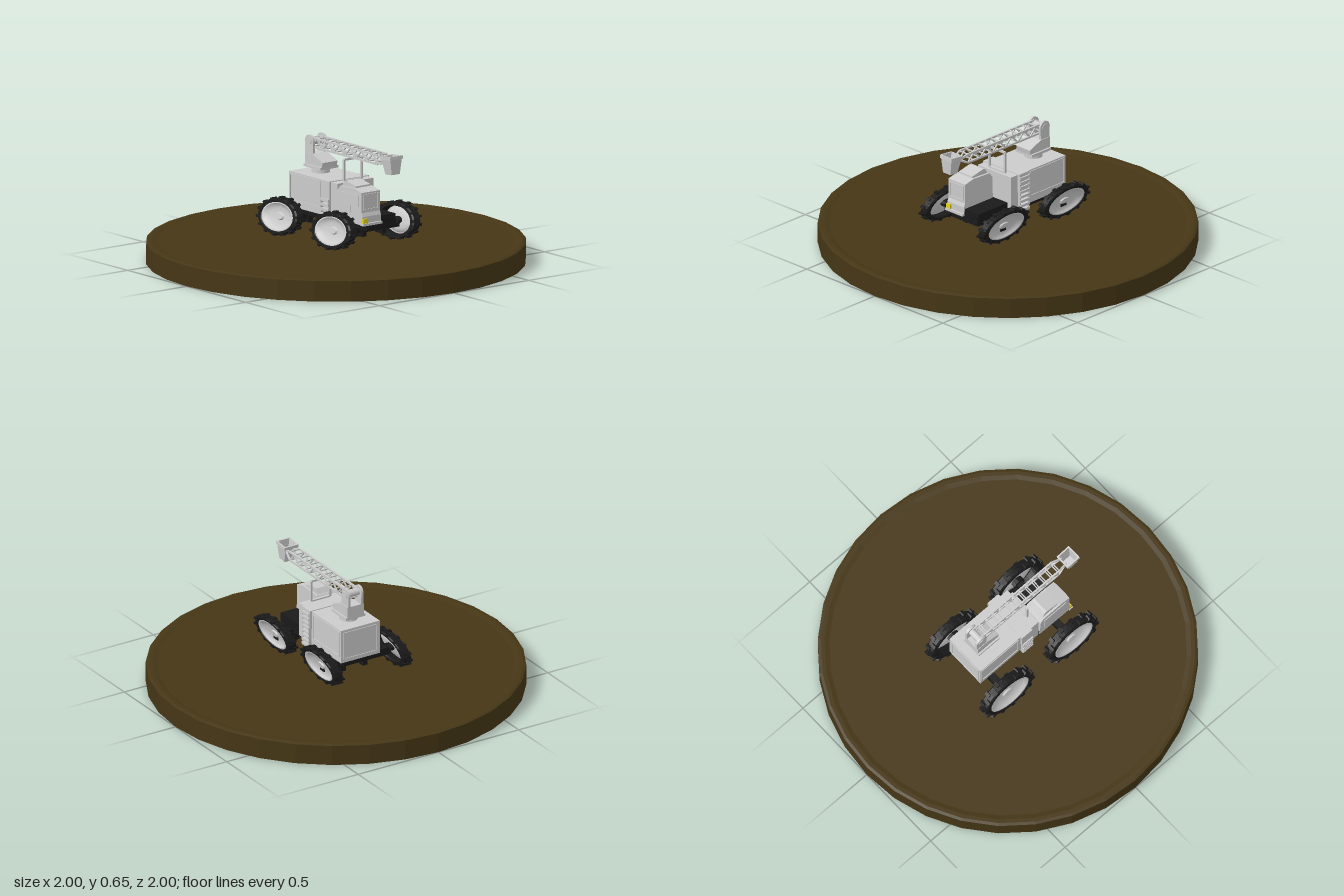
import * as THREE from 'three';
import { mergeGeometries, toCreasedNormals } from 'three/addons/utils/BufferGeometryUtils.js';

const grey = new THREE.MeshStandardMaterial({ color: 0xcccccc, side: THREE.DoubleSide });
const black = new THREE.MeshStandardMaterial({ color: 0x1a1a1a, flatShading: true });
const earth = new THREE.MeshStandardMaterial({ color: 0x453615, flatShading: true });
const yellow = new THREE.MeshStandardMaterial({ color: 0xe6d21e });
const MID = -0.027; // z of the vehicle's centre line

const V = (x, y) => new THREE.Vector2(x, y);

function add(parent, name, geometry, material = grey) {
  const m = new THREE.Mesh(geometry, material);
  m.name = name;
  parent.add(m);
  return m;
}

// box given by its limits
function block(x0, x1, y0, y1, z0, z1) {
  return new THREE.BoxGeometry(x1 - x0, y1 - y0, z1 - z0)
    .translate((x0 + x1) / 2, (y0 + y1) / 2, (z0 + z1) / 2);
}

// side outline extruded between two z values
function prism(points, z0, z1) {
  const shape = new THREE.Shape(points.map(([x, y]) => V(x, y)));
  return new THREE.ExtrudeGeometry(shape, { depth: z1 - z0, bevelEnabled: false }).translate(0, 0, z0);
}

// square bar between two points
function bar(a, b, t) {
  const p = new THREE.Vector3(...a), q = new THREE.Vector3(...b);
  const g = new THREE.BoxGeometry(t, t, p.distanceTo(q));
  const o = new THREE.Object3D();
  o.position.copy(p).add(q).multiplyScalar(0.5);
  o.lookAt(q);
  o.updateMatrix();
  return g.applyMatrix4(o.matrix);
}

// four bars framing a rectangle on a z face
const frameZ = (x0, x1, y0, y1, z, t) => mergeGeometries([
  bar([x0, y0, z], [x1, y0, z], t), bar([x0, y1, z], [x1, y1, z], t),
  bar([x0, y0, z], [x0, y1, z], t), bar([x1, y0, z], [x1, y1, z], t)]);

// four bars framing a rectangle on an x face
const frameX = (x, y0, y1, z0, z1, t) => mergeGeometries([
  bar([x, y0, z0], [x, y0, z1], t), bar([x, y1, z0], [x, y1, z1], t),
  bar([x, y0, z0], [x, y1, z0], t), bar([x, y0, z1], [x, y1, z1], t)]);

// oval wheel, leaning over sideways
function makeWheel(name, x, z, side) {
  const wheel = new THREE.Group();
  wheel.name = name;
  const lean = new THREE.Matrix4().set(
    0.172, 0, 0, 0,
    0, 0.097, 0, 0,
    0, -0.027, 0.055, 0,
    0, 0, 0, 1);
  const lathe = (pts) => new THREE.LatheGeometry(pts.map(p => V(...p)), 32).rotateX(Math.PI / 2);
  const parts = [lathe([[0.74, -0.3], [0.79, -0.48], [0.9, -0.48], [0.95, -0.36],
    [0.95, 0.36], [0.9, 0.48], [0.79, 0.48], [0.74, 0.3], [0.74, -0.3]])];
  for (let i = 0; i < 28; i++) {
    const lug = new THREE.BoxGeometry(0.17, 0.13, 0.52);
    lug.translate(0.915, 0, i % 2 ? 0.24 : -0.24).rotateZ(i * Math.PI / 14);
    parts.push(lug);
  }
  add(wheel, 'tyre', mergeGeometries(parts).applyMatrix4(lean), black);
  const hub = lathe([[0.001, 0.2], [0.16, 0.2], [0.2, 0.05], [0.45, 0.08], [0.62, 0.25],
    [0.7, 0.42], [0.76, 0.42]]);
  if (side < 0) hub.rotateY(Math.PI);
  add(wheel, 'hub', toCreasedNormals(hub.applyMatrix4(lean), 0.6));
  const cap = new THREE.CylinderGeometry(0.2, 0.2, 0.5, 10).rotateX(Math.PI / 2).translate(0, 0, -side * 0.2);
  add(wheel, 'axleEnd', cap.applyMatrix4(lean), black);
  wheel.position.set(x, 0.237, z);
  return wheel;
}

export function createModel() {
  const model = new THREE.Group();

  // round base with a slightly raised rim
  add(model, 'base', new THREE.LatheGeometry([[0, 0], [1, 0], [1, 0.11], [0.985, 0.115],
    [0.965, 0.115], [0.94, 0.11], [0, 0.11]].map(p => V(...p)), 32), earth);

  // wheels, axles and chassis
  for (const [end, x] of [['rear', -0.2], ['front', 0.253]]) {
    for (const s of [1, -1]) {
      model.add(makeWheel(end + (s > 0 ? 'Right' : 'Left') + 'Wheel', x, s * 0.213, s));
    }
    add(model, end + 'Axle', block(x - 0.02, x + 0.02, 0.205, 0.245, -0.215, 0.2), black);
    for (const z of [0.035, -0.1])
      add(model, end + 'AxleMount', block(x - 0.03, x + 0.03, 0.185, 0.26, z - 0.015, z + 0.015), black);
  }
  add(model, 'chassis', block(-0.26, 0.35, 0.23, 0.285, -0.12, 0.07), black);
  add(model, 'frontDeck', block(0.13, 0.345, 0.25, 0.3, -0.125, 0.095), black);

  // rear body with framed panels
  add(model, 'body', block(-0.28, 0.13, 0.262, 0.45, -0.148, 0.094));
  for (const z of [-0.148, 0.094]) add(model, 'sidePanelFrame', frameZ(-0.268, -0.015, 0.3, 0.438, z, 0.008));
  add(model, 'rearPanelFrame', frameX(-0.28, 0.282, 0.432, -0.13, 0.076, 0.008));
  add(model, 'roofBand', block(0.003, 0.078, 0.35, 0.454, -0.16, 0.106));

  // steps on both sides
  for (const [z, top] of [[0.1, 0.35], [-0.154, 0.44]]) {
    const steps = [block(0.006, 0.014, 0.235, top, z - 0.01, z + 0.01),
      block(0.068, 0.076, 0.235, top, z - 0.01, z + 0.01)];
    for (let y = 0.24; y < top; y += 0.026) steps.push(block(0.006, 0.076, y, y + 0.014, z - 0.014, z + 0.014));
    add(model, 'steps', mergeGeometries(steps));
  }

  // offset half-width cab
  const cab = new THREE.Group();
  cab.name = 'cab';
  model.add(cab);
  add(cab, 'cabShell', prism([[0.135, 0.27], [0.352, 0.262], [0.352, 0.31], [0.344, 0.33], [0.344, 0.438],
    [0.28, 0.452], [0.16, 0.447], [0.14, 0.42]], -0.022, 0.1));
  add(cab, 'cabRoof', prism([[0.16, 0.44], [0.28, 0.445], [0.278, 0.461], [0.195, 0.478], [0.182, 0.475]], -0.01, 0.088));
  add(cab, 'door', prism([[0.165, 0.32], [0.25, 0.32], [0.25, 0.36], [0.32, 0.36], [0.32, 0.42], [0.165, 0.42]], 0.098, 0.104));
  add(cab, 'windscreenFrame', frameX(0.345, 0.345, 0.425, -0.01, 0.088, 0.007));
  add(cab, 'bumper', block(0.34, 0.365, 0.262, 0.275, -0.022, 0.105));
  add(cab, 'headlight', block(0.345, 0.36, 0.268, 0.3, 0.072, 0.102), yellow);

  // boom rest at the front of the body
  add(model, 'boomRest', frameX(0.108, 0.452, 0.568, MID - 0.058, MID + 0.058, 0.011));

  // turret
  const turret = new THREE.Group();
  turret.name = 'turret';
  model.add(turret);
  add(turret, 'turntable', toCreasedNormals(
    new THREE.CylinderGeometry(0.047, 0.05, 0.04, 20).translate(-0.163, 0.465, MID), 0.6));
  add(turret, 'turretBase', block(-0.235, -0.09, 0.476, 0.49, MID - 0.06, MID + 0.06));
  add(turret, 'turretHousing', prism([[-0.235, 0.488], [-0.09, 0.488], [-0.085, 0.515], [-0.17, 0.55], [-0.235, 0.55]],
    MID - 0.05, MID + 0.05));

  // rounded side plates that carry the boom
  const plate = new THREE.Shape();
  plate.moveTo(-0.235, 0.54);
  plate.lineTo(-0.172, 0.54);
  plate.lineTo(-0.168, 0.612);
  plate.absarc(-0.203, 0.612, 0.035, 0, Math.PI, false);
  for (const s of [1, -1]) {
    const g = new THREE.ExtrudeGeometry(plate, { depth: 0.014, bevelEnabled: false, curveSegments: 8 });
    add(turret, 'boomBracket', g.translate(0, 0, MID + s * 0.04 - 0.007));
  }
  add(turret, 'boomPivot', new THREE.CylinderGeometry(0.02, 0.02, 0.1, 14).rotateX(Math.PI / 2)
    .translate(-0.203, 0.612, MID));

  // lattice boom: four rails with zigzag bracing
  const boom = [];
  const x0 = -0.2, x1 = 0.36, n = 12, step = (x1 - x0) / n;
  const yLow = 0.583, yHigh = 0.63, half = 0.031;
  for (const s of [1, -1]) {
    const z = MID + s * half;
    for (const y of [yLow, yHigh]) boom.push(bar([x0, y, z], [x1, y, z], 0.01));
    for (let i = 0; i < n; i++) {
      const up = i % 2 === 0;
      boom.push(bar([x0 + i * step, up ? yLow : yHigh, z], [x0 + (i + 1) * step, up ? yHigh : yLow, z], 0.007));
    }
    // converging tip
    for (const y of [yLow, yHigh]) boom.push(bar([x1, y, z], [0.42, 0.61, MID + s * 0.018], 0.009));
  }
  for (let i = 0; i <= n; i++) for (const y of [yLow, yHigh])
    boom.push(bar([x0 + i * step, y, MID - half], [x0 + i * step, y, MID + half], 0.006));
  add(model, 'boom', mergeGeometries(boom));

  // open tapered bucket with a rim, tilted slightly
  const bucket = new THREE.Group();
  bucket.name = 'bucket';
  bucket.position.set(0.449, 0.592, MID + 0.007);
  bucket.rotation.z = 0.1;
  model.add(bucket);
  const square = (pts) => new THREE.LatheGeometry(pts.map(p => V(p[0] * Math.SQRT2, p[1])), 4)
    .rotateY(Math.PI / 4).toNonIndexed();
  const bowl = square([[0, -0.05], [0.027, -0.05], [0.038, 0.03], [0.043, 0.03], [0.043, 0.048],
    [0.035, 0.048], [0.024, -0.043], [0, -0.043]]);
  bowl.computeVertexNormals();
  add(bucket, 'bucketShell', bowl);
  return model;
}
